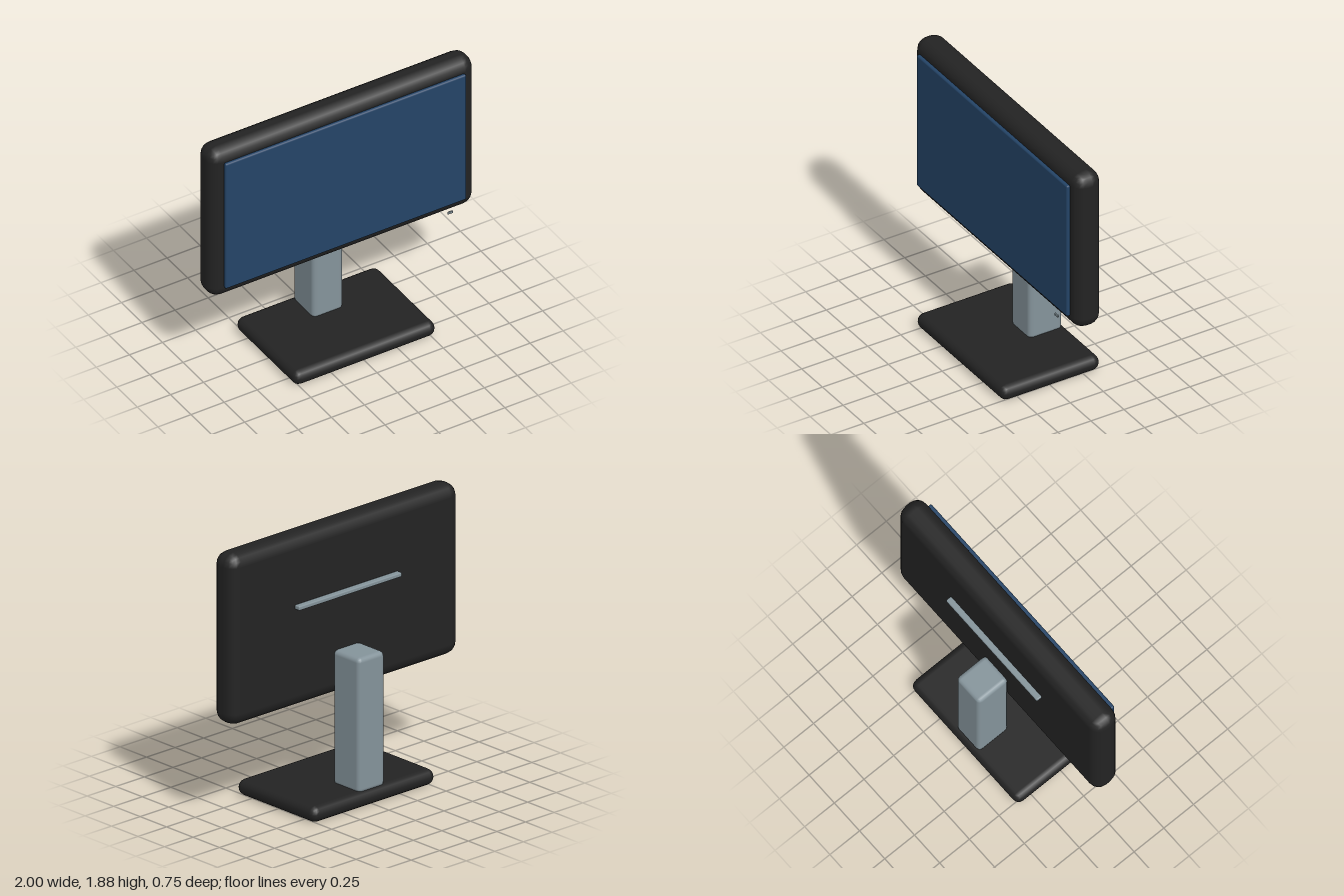
import * as THREE from 'three';
import { RoundedBoxGeometry } from 'three/addons/geometries/RoundedBoxGeometry.js';

const material = (name, color) => {
  const m = new THREE.MeshStandardMaterial({ color });
  m.name = name;
  return m;
};

export function createModel() {
  const casing = material('black casing', 0x232323);
  const glass = material('blue screen', 0x244467);
  const metal = material('grey metal', 0x84939a);

  const group = new THREE.Group();
  group.name = 'monitor';

  // Rounded block given by its extents on each axis
  const block = (name, mat, [x0, x1], [y0, y1], [z0, z1], radius, segments = 2) => {
    const geometry = new RoundedBoxGeometry(x1 - x0, y1 - y0, z1 - z0, segments, radius);
    const mesh = new THREE.Mesh(geometry, mat);
    mesh.name = name;
    mesh.position.set((x0 + x1) / 2, (y0 + y1) / 2, (z0 + z1) / 2);
    group.add(mesh);
  };

  // Display head
  block('housing', casing, [-1, 1], [0.702, 1.878], [-0.1, 0.1], 0.085);
  block('screen', glass, [-0.91, 0.91], [0.79, 1.792], [0.097, 0.126], 0.012);
  block('powerButton', metal, [0.765, 0.804], [0.727, 0.745], [0.119, 0.131], 0.004);
  block('rearVent', metal, [-0.45, 0.45], [1.385, 1.415], [-0.14, -0.09], 0.008);

  // Stand
  block('column', metal, [-0.115, 0.115], [0.09, 1.02], [-0.342, -0.09], 0.032);
  block('base', casing, [-0.535, 0.535], [0, 0.108], [-0.373, 0.373], 0.052);

  return group;
}
